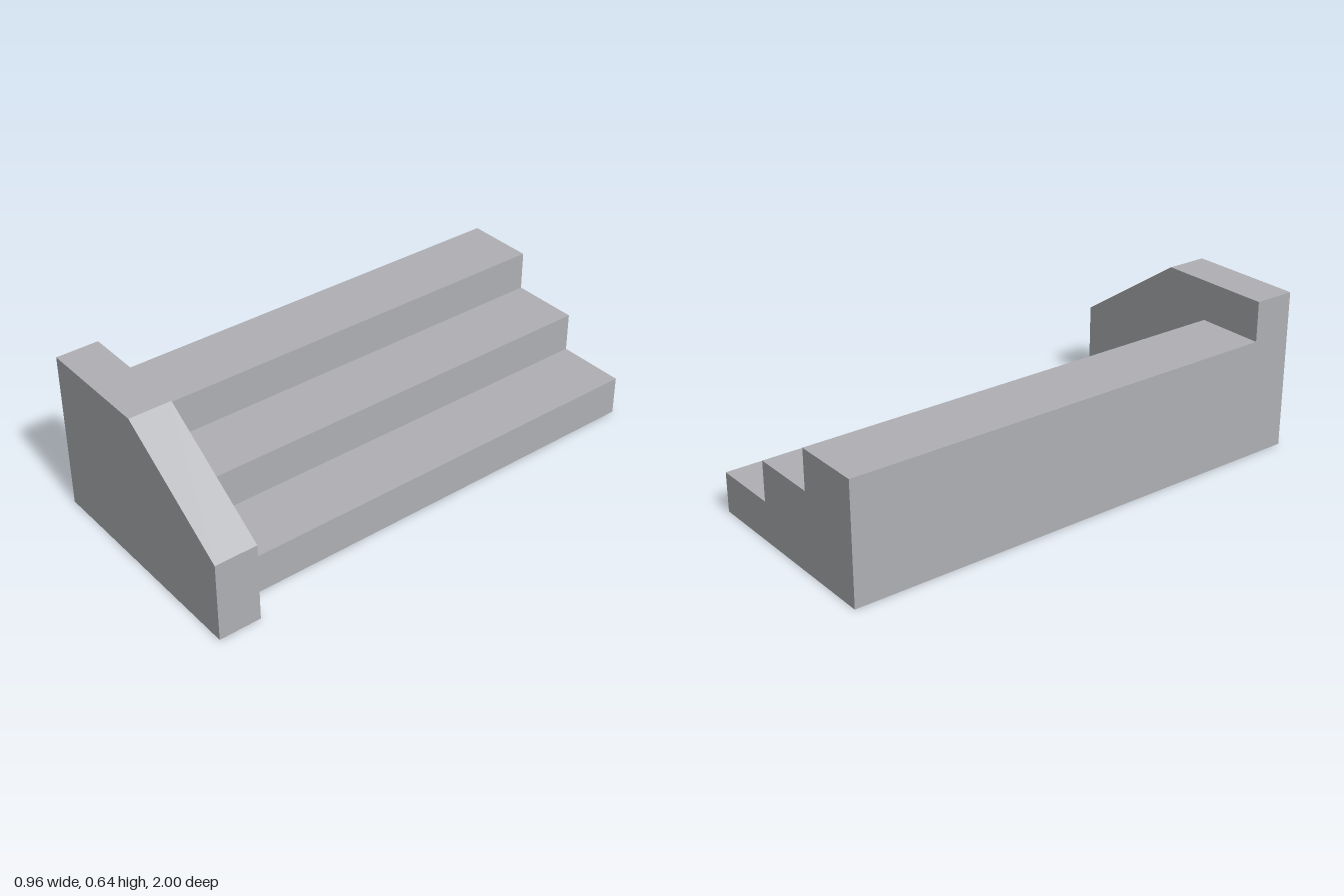
import * as THREE from 'three';

export function createModel() {
  const group = new THREE.Group();
  const concrete = new THREE.MeshStandardMaterial({ color: 0xb0b1b5 });
  concrete.name = 'concrete grey';

  // Extrudes an x/y outline between two depths
  const slab = (name, points, zBack, zFront) => {
    const shape = new THREE.Shape(points.map(([x, y]) => new THREE.Vector2(x, y)));
    const geometry = new THREE.ExtrudeGeometry(shape, { depth: zFront - zBack, bevelEnabled: false });
    geometry.translate(0, 0, zBack);
    const mesh = new THREE.Mesh(geometry, concrete);
    mesh.name = name;
    group.add(mesh);
  };

  const left = -0.48, wallBack = 0.83;

  // Three steps rising towards -x
  const count = 3, tread = 0.282, rise = 0.161;
  const outline = [[left, 0], [left + count * tread, 0]];
  for (let i = 1; i <= count; i++) {
    outline.push([left + (count - i + 1) * tread, i * rise], [left + (count - i) * tread, i * rise]);
  }
  slab('steps', outline, -1, wallBack);

  // Side wall with a sloping top
  slab('sideWall', [[left, 0], [0.48, 0], [0.48, 0.324], [0, 0.645], [left, 0.645]], wallBack, 1);

  return group;
}
